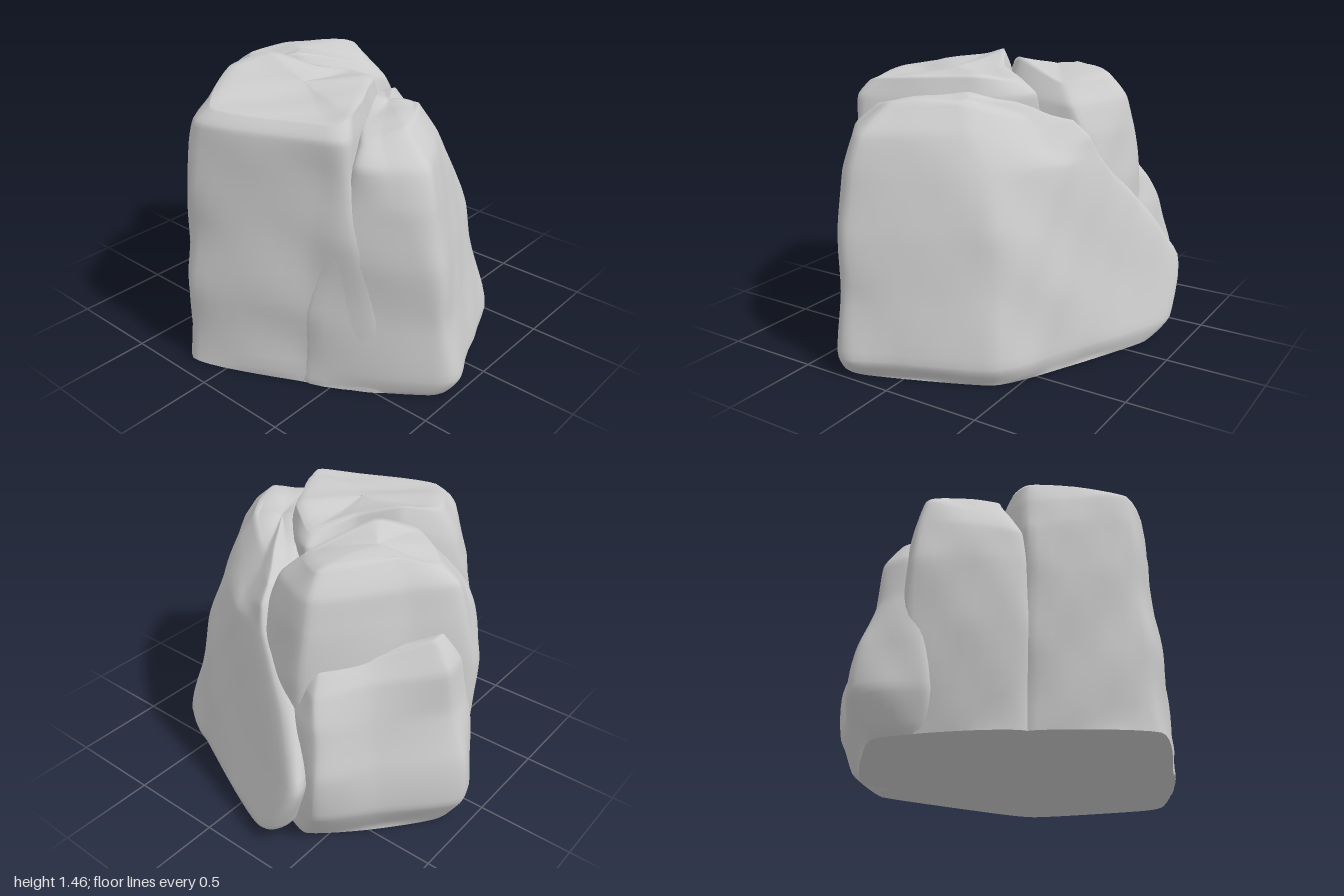
import * as THREE from 'three';

const AROUND = 64, UP = 30, CAP = 10;

// gentle weathering, the same everywhere in space so touching blocks agree
const wear = (x, y, z) =>
  0.010 * Math.sin(7 * x + 5 * y + 1) * Math.sin(6 * z - 4 * y) +
  0.008 * Math.sin(15 * x - 11 * z + 3) * Math.sin(13 * y + 7 * z);

// smooth curve through points, kept fairly tight so corners stay blocky
const curve = (pts, closed) => new THREE.CatmullRomCurve3(pts, closed, 'catmullrom', 0.27);

// A boulder block: plan outlines [height, [x, z, own height?]...] from the ground up,
// each running counter-clockwise seen from above, closed by a low dome.
function block(name, outlines, bulge) {
  const loops = outlines.map(([y, ...pts]) => {
    const c = curve(pts.map(([x, z, py]) => new THREE.Vector3(x, py ?? y, z)), true);
    return Array.from({ length: AROUND }, (_, i) => c.getPoint(i / AROUND));
  });
  const columns = Array.from({ length: AROUND }, (_, i) => curve(loops.map(l => l[i]), false));
  const rings = [];
  for (let r = 0; r <= UP; r++) rings.push(columns.map(c => c.getPoint(r / UP)));

  // domed top
  const rim = rings[UP];
  const centre = rim.reduce((s, p) => s.add(p), new THREE.Vector3()).divideScalar(AROUND);
  for (let k = 1; k <= CAP; k++) {
    const s = 1 - k / CAP * 0.995;
    rings.push(rim.map(p => {
      const q = p.clone().lerp(centre, 1 - s);
      q.y += bulge * (1 - s * s);
      return q;
    }));
  }

  const pos = [], index = [];
  rings.forEach((ring, r) => ring.forEach(p => {
    const w = r === 0 ? 0 : wear(p.x, p.y, p.z);
    const dx = p.x - centre.x, dz = p.z - centre.z, d = Math.hypot(dx, dz) + 0.05;
    pos.push(p.x + w * dx / d, Math.max(0, p.y + (r > UP ? w : 0)), p.z + w * dz / d);
  }));
  for (let r = 0; r < rings.length - 1; r++) {
    for (let i = 0; i < AROUND; i++) {
      const j = (i + 1) % AROUND;
      const a = r * AROUND + i, b = r * AROUND + j;
      index.push(a, b, b + AROUND, a, b + AROUND, a + AROUND);
    }
  }
  // flat underside with its own vertices for a sharp edge
  const base = pos.length / 3;
  rings[0].forEach(p => pos.push(p.x, 0, p.z));
  const mid = rings[0].reduce((s, p) => s.add(p), new THREE.Vector3()).divideScalar(AROUND);
  pos.push(mid.x, 0, mid.z);
  for (let i = 0; i < AROUND; i++) index.push(base + AROUND, base + (i + 1) % AROUND, base + i);

  const geo = new THREE.BufferGeometry();
  geo.setAttribute('position', new THREE.Float32BufferAttribute(pos, 3));
  geo.setIndex(index);
  geo.computeVertexNormals();
  const mesh = new THREE.Mesh(geo, new THREE.MeshStandardMaterial({ color: 0xcccccc }));
  mesh.name = name;
  return mesh;
}

export function createModel() {
  const rock = new THREE.Group();
  rock.name = 'boulder';

  // broad slab across the front, leaning back
  rock.add(block('frontSlab', [
    [0, [-0.34, 0.9], [-0.18, 0.93], [0.4, 0.69], [0.6, 0.35], [0.82, -0.15], [0.66, -0.24], [0, 0], [-0.66, 0.36]],
    [0.1, [-0.35, 0.93], [-0.2, 0.99], [0.42, 0.72], [0.61, 0.38], [0.9, -0.29], [0.74, -0.36], [0, 0], [-0.66, 0.36]],
    [0.4, [-0.36, 0.89], [-0.24, 0.94], [0.38, 0.66], [0.57, 0.36], [0.85, -0.4], [0.75, -0.45], [0, 0], [-0.65, 0.37]],
    [0.7, [-0.4, 0.82], [-0.27, 0.91], [0.33, 0.61], [0.53, 0.31], [0.72, -0.25], [0.63, -0.32], [0, 0], [-0.6, 0.41]],
    [0.98, [-0.43, 0.75], [-0.28, 0.86], [0.27, 0.54], [0.49, 0.23], [0.59, -0.04], [0.45, -0.1], [0, 0.1], [-0.53, 0.48]],
    [1.16, [-0.4, 0.67], [-0.26, 0.79], [0.16, 0.53], [0.42, 0.22, 1.06], [0.55, 0, 1.1], [0.4, -0.03, 1.12], [0, 0.1], [-0.48, 0.52]],
    [1.29, [-0.33, 0.56, 1.27], [-0.22, 0.62, 1.3], [0.08, 0.48, 1.3], [0.31, 0.2, 1.18], [0.46, 0.03, 1.18], [0.32, 0.02, 1.18], [-0.05, 0.2, 1.3], [-0.38, 0.49, 1.26]],
  ], 0.05));

  // flat-topped slab on the other side, its rear edge chamfered
  rock.add(block('sideSlab', [
    [0, [-0.9, -0.2], [-0.68, 0.34], [-0.42, 0.76], [0.2, 0.3], [0.2, 0], [0, -0.2], [-0.12, -0.35], [-0.44, -0.56]],
    [0.4, [-0.875, -0.2], [-0.66, 0.36], [-0.45, 0.72], [0.2, 0.3], [0.2, 0], [0, -0.2], [-0.12, -0.35], [-0.45, -0.57]],
    [0.8, [-0.845, -0.2], [-0.62, 0.38], [-0.49, 0.62], [0.2, 0.3], [0.2, 0], [0, -0.2], [-0.12, -0.35], [-0.46, -0.56]],
    [1.12, [-0.82, -0.19], [-0.59, 0.41], [-0.49, 0.53], [0.05, 0.28], [0.22, -0.03], [-0.01, -0.17], [-0.12, -0.35], [-0.44, -0.54, 1.05]],
    [1.28, [-0.79, -0.18], [-0.57, 0.43], [-0.46, 0.5], [0.02, 0.26], [0.22, -0.01], [-0.01, -0.13], [-0.12, -0.34, 1.34], [-0.4, -0.48, 1.24]],
    [1.37, [-0.72, -0.14, 1.35], [-0.53, 0.4, 1.35], [-0.4, 0.45, 1.38], [0, 0.23, 1.39], [0.15, 0.01, 1.34], [-0.04, -0.11, 1.4], [-0.16, -0.31, 1.46], [-0.35, -0.4, 1.41]],
  ], 0.005));

  // block in the middle of the back, falling away at the rear beside the side slab
  rock.add(block('centreBlock', [
    [0, [-0.44, -0.55], [0, 0], [0.5, 0], [0.7, -0.35], [0.3, -0.72], [0, -0.82]],
    [0.5, [-0.45, -0.57], [0, 0], [0.5, 0], [0.68, -0.35], [0.28, -0.72], [0, -0.87]],
    [0.85, [-0.43, -0.56], [0, 0], [0.54, 0.02], [0.67, -0.34], [0.26, -0.68], [0, -0.87]],
    [1.1, [-0.39, -0.54, 1.03], [-0.02, -0.06], [0.5, 0.01], [0.62, -0.34], [0.24, -0.65], [0.01, -0.82]],
    [1.26, [-0.3, -0.5, 1.15], [-0.02, -0.15], [0.42, -0.01, 1.24], [0.57, -0.33], [0.22, -0.61], [0.02, -0.76]],
    [1.37, [-0.16, -0.42, 1.37], [-0.02, -0.25, 1.43], [0.32, -0.1, 1.34], [0.48, -0.31, 1.37], [0.19, -0.53, 1.39], [0.03, -0.66, 1.34]],
  ], 0.025));

  // lower shoulder at the rear corner
  rock.add(block('rearShoulder', [
    [0, [0, -0.5], [0.6, -0.2], [0.72, -0.4], [0.5, -0.64], [0.2, -0.87], [-0.06, -0.78]],
    [0.2, [0, -0.5], [0.62, -0.2], [0.78, -0.5], [0.54, -0.72], [0.22, -1], [-0.08, -0.83]],
    [0.45, [0, -0.5], [0.62, -0.2], [0.77, -0.52], [0.53, -0.69], [0.21, -0.96], [-0.06, -0.84]],
    [0.68, [0, -0.5], [0.6, -0.2], [0.73, -0.48], [0.5, -0.64], [0.2, -0.88], [-0.02, -0.83]],
    [0.86, [0.1, -0.5], [0.54, -0.24], [0.68, -0.43, 0.82], [0.47, -0.6, 0.86], [0.21, -0.86, 0.9], [0.03, -0.81, 0.9]],
    [0.98, [0.15, -0.5], [0.5, -0.28], [0.6, -0.4, 0.92], [0.41, -0.54, 0.95], [0.2, -0.76, 1.04], [0.08, -0.74, 1.04]],
  ], 0));

  return rock;
}
